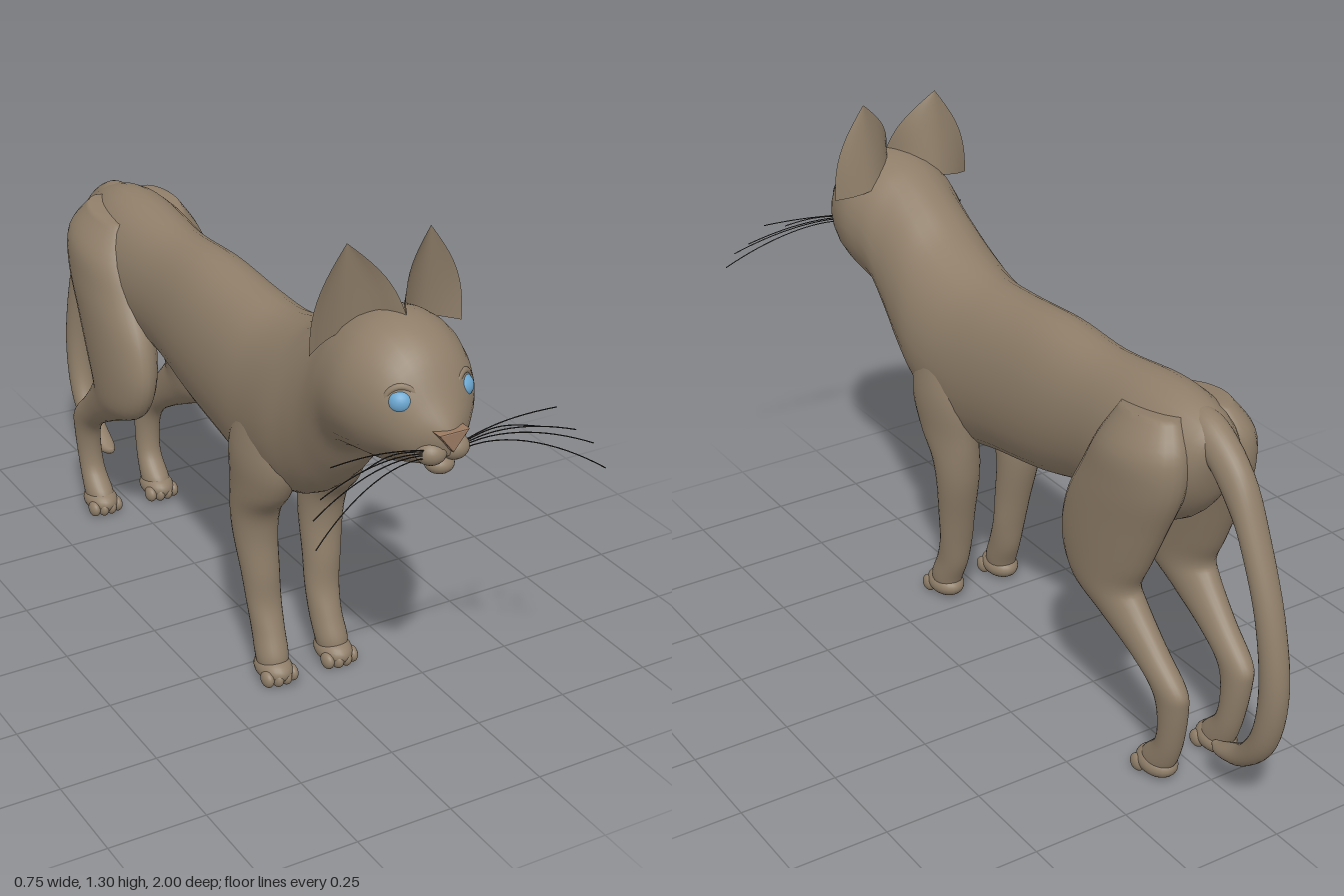
import * as THREE from 'three';

const fur = new THREE.MeshStandardMaterial({ color: 0x8f7e69 });
const earFur = new THREE.MeshStandardMaterial({ color: 0x8f7e69, side: THREE.DoubleSide });
const eyeBlue = new THREE.MeshStandardMaterial({ color: 0x6ba6cf });
const noseTan = new THREE.MeshStandardMaterial({ color: 0x9a7a62 });
const whiskerDark = new THREE.MeshStandardMaterial({ color: 0x2b2927 });
fur.name = 'fur'; earFur.name = 'earFur'; eyeBlue.name = 'eyeBlue';
noseTan.name = 'noseTan'; whiskerDark.name = 'whiskerDark';

function add(parent, name, geometry, material) {
  const mesh = new THREE.Mesh(geometry, material);
  mesh.name = name;
  parent.add(mesh);
  return mesh;
}

// Smooth closed loft. Each section: [zA, yA, zB, yB, centreX, halfWidth],
// an ellipse whose one axis runs from A to B and the other along x.
function loft(sections, side = 1, steps = 5, around = 28) {
  const at = (i, k) => sections[Math.min(Math.max(i, 0), sections.length - 1)][k];
  const spline = (i, t, k) => {
    const a = at(i - 1, k), b = at(i, k), c = at(i + 1, k), d = at(i + 2, k);
    return b + 0.5 * t * (c - a + t * (2 * a - 5 * b + 4 * c - d + t * (3 * (b - c) + d - a)));
  };
  const pos = [], index = [];
  const rings = (sections.length - 1) * steps + 1;
  for (let r = 0; r < rings; r++) {
    const i = Math.floor(r / steps), t = (r % steps) / steps;
    const [zA, yA, zB, yB, cx, rx] = [0, 1, 2, 3, 4, 5].map((k) => spline(i, t, k));
    for (let j = 0; j < around; j++) {
      const a = (j / around) * Math.PI * 2, s = Math.sin(a) / 2;
      pos.push(side * cx + rx * Math.cos(a), (yA + yB) / 2 + (yA - yB) * s, (zA + zB) / 2 + (zA - zB) * s);
    }
  }
  for (let r = 0; r < rings - 1; r++) {
    for (let j = 0; j < around; j++) {
      const a = r * around + j, b = r * around + (j + 1) % around;
      index.push(a, b, a + around, b, b + around, a + around);
    }
  }
  // end caps
  const last = (rings - 1) * around;
  for (let j = 1; j < around - 1; j++) index.push(0, j + 1, j, last, last + j, last + j + 1);
  const g = new THREE.BufferGeometry();
  g.setAttribute('position', new THREE.Float32BufferAttribute(pos, 3));
  g.setIndex(index);
  g.computeVertexNormals();
  return g;
}

function ellipsoid(parent, name, material, p, r) {
  const mesh = add(parent, name, new THREE.SphereGeometry(1, 24, 16), material);
  mesh.position.set(...p);
  mesh.scale.set(...r);
  return mesh;
}

// Curved open sheet from a base curve up to a pointed tip
function earGeometry(side) {
  const base = new THREE.CatmullRomCurve3([
    [0, 1.14, 0.745], [0.035, 1.12, 0.68], [0.095, 1.08, 0.638], [0.15, 1.065, 0.645], [0.198, 1.055, 0.67],
  ].map((p) => new THREE.Vector3(...p)));
  const tip = new THREE.Vector3(0.107, 1.3, 0.668);
  const g = new THREE.PlaneGeometry(1, 1, 14, 10);
  const pos = g.attributes.position;
  for (let i = 0; i < pos.count; i++) {
    const u = pos.getX(i) + 0.5, v = pos.getY(i) + 0.5;
    const p = base.getPoint(u).lerp(tip, v);
    p.x += 0.026 * Math.sin(Math.PI * v) * (2 * u - 0.9);
    pos.setXYZ(i, side * p.x, p.y, p.z);
  }
  if (side < 0) g.index.array.reverse();
  g.computeVertexNormals();
  return g;
}

function paw(parent, name, x, z) {
  const group = new THREE.Group();
  group.name = name;
  ellipsoid(group, 'pawPad', fur, [x, 0.034, z], [0.045, 0.034, 0.062]);
  for (let i = 0; i < 4; i++) {
    const k = i - 1.5;
    ellipsoid(group, 'toe', fur, [x + k * 0.023, 0.023, z + 0.043 - Math.abs(k) * 0.008], [0.015, 0.022, 0.024]);
  }
  parent.add(group);
}

const bodySections = [
  [-0.755, 0.9, -0.74, 0.84, 0, 0.02], [-0.72, 0.945, -0.7, 0.74, 0, 0.075],
  [-0.62, 0.98, -0.62, 0.66, 0, 0.115], [-0.5, 0.985, -0.5, 0.62, 0, 0.13],
  [-0.3, 0.965, -0.3, 0.6, 0, 0.12], [-0.1, 0.972, -0.1, 0.545, 0, 0.13],
  [0.1, 0.957, 0.1, 0.51, 0, 0.14], [0.25, 0.957, 0.22, 0.49, 0, 0.15],
  [0.4, 1.0, 0.36, 0.52, 0, 0.163], [0.5, 1.06, 0.45, 0.57, 0, 0.155],
  [0.57, 1.1, 0.53, 0.66, 0, 0.15], [0.64, 1.13, 0.6, 0.755, 0, 0.155],
  [0.72, 1.142, 0.69, 0.787, 0, 0.163], [0.79, 1.125, 0.765, 0.8, 0, 0.15],
  [0.85, 1.08, 0.83, 0.825, 0, 0.122], [0.9, 1.0, 0.875, 0.84, 0, 0.078],
  [0.925, 0.96, 0.9, 0.86, 0, 0.045], [0.935, 0.94, 0.925, 0.88, 0, 0.02],
];
const frontLegSections = [
  [0.4, 0.82, 0.24, 0.82, 0.075, 0.055], [0.42, 0.64, 0.18, 0.66, 0.095, 0.07],
  [0.39, 0.54, 0.18, 0.53, 0.097, 0.065], [0.325, 0.46, 0.185, 0.45, 0.095, 0.061],
  [0.308, 0.38, 0.195, 0.38, 0.093, 0.056], [0.315, 0.28, 0.22, 0.28, 0.088, 0.049],
  [0.32, 0.2, 0.238, 0.2, 0.084, 0.045], [0.345, 0.13, 0.255, 0.12, 0.083, 0.041],
  [0.37, 0.07, 0.28, 0.06, 0.086, 0.041], [0.37, 0.03, 0.29, 0.03, 0.087, 0.035],
];
const hindLegSections = [
  [-0.47, 0.93, -0.66, 0.95, 0.07, 0.05], [-0.42, 0.84, -0.71, 0.88, 0.09, 0.083],
  [-0.37, 0.75, -0.71, 0.78, 0.097, 0.085], [-0.31, 0.64, -0.66, 0.66, 0.103, 0.078],
  [-0.293, 0.53, -0.61, 0.55, 0.108, 0.069], [-0.34, 0.435, -0.575, 0.48, 0.11, 0.06],
  [-0.45, 0.375, -0.595, 0.44, 0.107, 0.05], [-0.56, 0.32, -0.67, 0.36, 0.102, 0.04],
  [-0.64, 0.265, -0.75, 0.285, 0.098, 0.036], [-0.668, 0.2, -0.757, 0.23, 0.094, 0.034],
  [-0.662, 0.12, -0.735, 0.12, 0.09, 0.034], [-0.61, 0.06, -0.71, 0.05, 0.089, 0.038],
  [-0.61, 0.03, -0.69, 0.03, 0.089, 0.034],
];
const tailSections = [
  [-0.62, 0.86, -0.62, 0.965, 0, 0.045], [-0.73, 0.84, -0.71, 0.96, 0, 0.045],
  [-0.81, 0.75, -0.82, 0.88, 0, 0.04], [-0.852, 0.68, -0.89, 0.75, 0, 0.037],
  [-0.9, 0.55, -0.965, 0.56, 0, 0.035], [-0.925, 0.4, -0.998, 0.37, 0, 0.035],
  [-0.915, 0.27, -0.965, 0.21, 0, 0.035], [-0.865, 0.18, -0.88, 0.12, 0, 0.032],
  [-0.79, 0.133, -0.79, 0.096, 0, 0.024], [-0.755, 0.12, -0.755, 0.105, 0, 0.008],
];
const whiskerTips = [[0.372, 0.788, 0.998], [0.36, 0.838, 0.965], [0.328, 0.868, 0.94], [0.29, 0.922, 0.915], [0.22, 0.9, 0.93]];

export function createModel() {
  const cat = new THREE.Group();
  cat.name = 'cat';
  add(cat, 'bodyAndHead', loft(bodySections), fur);
  add(cat, 'tail', loft(tailSections), fur);

  for (const side of [1, -1]) {
    const label = side > 0 ? 'left' : 'right';
    add(cat, label + 'FrontLeg', loft(frontLegSections, side), fur);
    add(cat, label + 'HindLeg', loft(hindLegSections, side), fur);
    paw(cat, label + 'FrontPaw', side * 0.087, 0.335);
    paw(cat, label + 'HindPaw', side * 0.089, -0.65);
    add(cat, label + 'Ear', earGeometry(side), earFur);

    // eye with a lid around it
    ellipsoid(cat, label + 'Eye', eyeBlue, [side * 0.076, 0.998, 0.846], [0.032, 0.03, 0.032]);
    const lid = add(cat, label + 'Eyelid', new THREE.TorusGeometry(0.035, 0.008, 10, 28), fur);
    lid.position.set(side * 0.078, 0.998, 0.853);
    lid.rotation.y = side * 0.55;

    ellipsoid(cat, label + 'Muzzle', fur, [side * 0.029, 0.887, 0.9], [0.036, 0.03, 0.036]);

    for (const [x, y, z] of whiskerTips) {
      const path = new THREE.CubicBezierCurve3(
        new THREE.Vector3(side * 0.045, 0.88 + (y - 0.78) * 0.14, 0.915),
        new THREE.Vector3(side * 0.13, 0.9 + (y - 0.78) * 0.12, 0.9 + (z - 0.9) * 0.2),
        new THREE.Vector3(side * x * 0.68, y * 0.4 + 0.555, 0.9 + (z - 0.9) * 0.5),
        new THREE.Vector3(side * x, y, z));
      add(cat, label + 'Whisker', new THREE.TubeGeometry(path, 14, 0.0014, 5), whiskerDark);
    }
  }

  // chin and nose
  ellipsoid(cat, 'chin', fur, [0, 0.85, 0.892], [0.034, 0.024, 0.034]);
  const triangle = new THREE.Shape([[-0.034, 0.943], [0, 0.902], [0.034, 0.943]].map((p) => new THREE.Vector2(...p)));
  const nose = add(cat, 'nose', new THREE.ExtrudeGeometry(triangle, {
    depth: 0.035, bevelThickness: 0.004, bevelSize: 0.004, bevelSegments: 2,
  }), noseTan);
  nose.position.z = 0.907;
  return cat;
}
